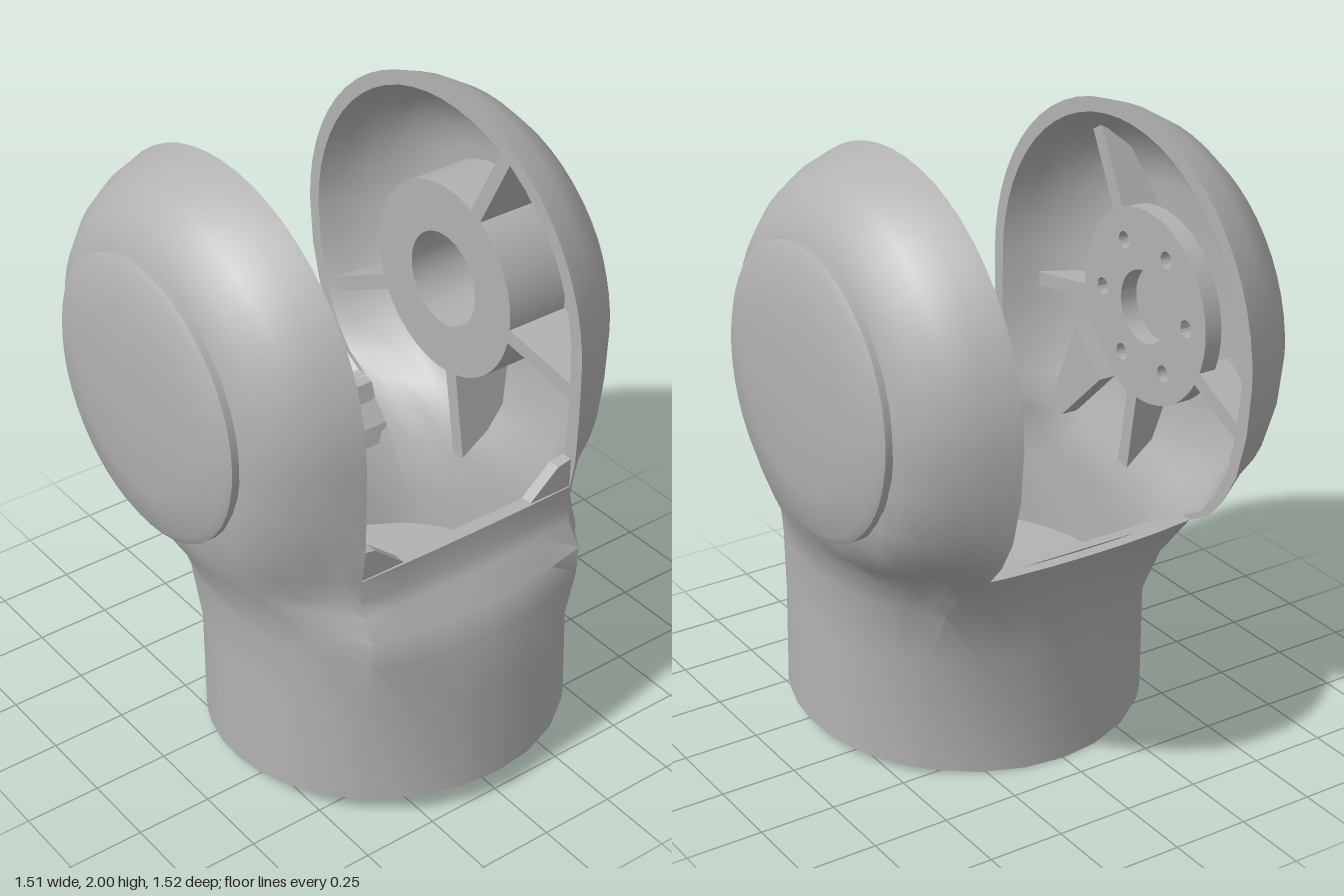
import * as THREE from 'three';
import { toCreasedNormals } from 'three/addons/utils/BufferGeometryUtils.js';

const CY = 1.315, CZ = -0.08; // pivot axis of the two ears
const { lerp, degToRad } = THREE.MathUtils;

// quarter outline of the ears: x against radius from the pivot axis
const EAR = [[0.695, 0], [0.695, 0.2], [0.692, 0.4], [0.68, 0.465], [0.64, 0.54], [0.575, 0.605],
  [0.49, 0.655], [0.4, 0.685], [0.27, 0.685], [0.13, 0.685], [0, 0.685]];
// matching angles on the round neck
const ANGLES = [0, 10, 20, 26, 32, 37, 42, 46.86, 62.5, 77, 90];
// height, neck-to-ear blend, front z, back z
const ROWS = [[0, 0, 0.76, -0.4], [0.4, 0, 0.745, -0.4], [0.6, 0.2, 0.72, -0.435], [0.7, 0.5, 0.685, -0.48],
  [0.77, 0.68, 0.615, -0.52], [0.82, 0.82, 0.595, -0.6], [0.9, 0.93, 0.59, -0.66], [1, 1, 0.6, -0.71],
  [1.15, 1, 0.605, -0.75], [CY, 1, 0.605, -0.765]];
const BACK_LIP = 4, FRONT_LIP = 6, TOP = 9;

const thinX = (x, inner) => (inner && x > 0.4 ? 0.4 + (x - 0.4) * 0.82 : x);
const thinR = (r, inner) => (inner ? r * 0.93 : r);

// ear half width at a radius from the pivot axis
function earWidth(r) {
  for (let k = 1; k < 8; k++) {
    const [x0, r0] = EAR[k - 1], [x1, r1] = EAR[k];
    if (r <= r1) return lerp(x0, x1, (r - r0) / (r1 - r0));
  }
  return 0.4;
}

// point on the loft: row j, column i of 40 around
function loftPoint(j, i, inner) {
  i = (i + 40) % 40;
  const quad = Math.floor(i / 10), k = quad % 2 ? 10 - (i % 10) : i % 10;
  const [y, s, zf, zb] = ROWS[j];
  const a = degToRad(ANGLES[k]), half = (zf - zb) / 2;
  // the middle flattens sooner than the sides widen
  const u = lerp(Math.sin(a), EAR[k][1] / 0.685, k < 7 ? s : Math.sqrt(s));
  // the ears round off towards the neck
  const ear = k < 7 ? lerp(EAR[k][0], earWidth(Math.hypot(u * half, y - CY)), 0.5) : EAR[k][0];
  const x = thinX(lerp(0.585 * Math.cos(a), ear, s), inner);
  const z = (zf + zb) / 2 + (quad < 2 ? 1 : -1) * thinR(u, inner) * half;
  return [quad === 1 || quad === 2 ? -x : x, j === 0 ? Math.max(0, (z + 0.4) * 0.069) : y, z];
}

// point on the upper half dome of an ear
function domePoint(side, m, i, inner) {
  const p = Math.PI * m / 28, r = thinR(EAR[i][1], inner);
  return [side * thinX(EAR[i][0], inner), CY + r * Math.sin(p), CZ + r * Math.cos(p)];
}

// hollow housing: neck, front band, two ears and their rims
function shellGeometry() {
  const pos = [];
  const quad = (a, b, c, d) => pos.push(...a, ...b, ...c, ...a, ...c, ...d);
  for (const inner of [false, true]) {
    const put = (a, b, c, d) => (inner ? quad(d, c, b, a) : quad(a, b, c, d));
    for (let j = 0; j < TOP; j++) {
      for (let i = 0; i < 40; i++) {
        if (i >= 7 && i < 13 && j >= FRONT_LIP) continue;
        if (i >= 27 && i < 33 && j >= BACK_LIP) continue;
        put(loftPoint(j, i, inner), loftPoint(j + 1, i, inner),
          loftPoint(j + 1, i + 1, inner), loftPoint(j, i + 1, inner));
      }
    }
    for (const side of [1, -1]) {
      for (let m = 0; m < 28; m++) {
        for (let i = 0; i < 7; i++) {
          const q = [domePoint(side, m, i, inner), domePoint(side, m + 1, i, inner),
            domePoint(side, m + 1, i + 1, inner), domePoint(side, m, i + 1, inner)];
          if (side < 0) q.reverse();
          put(...q);
        }
      }
    }
  }
  // rims between the outer and inner skins
  const rim = (f, n) => {
    for (let k = 0; k < n; k++) quad(f(k, false), f(k + 1, false), f(k + 1, true), f(k, true));
  };
  rim((k, t) => loftPoint(0, k, t), 40);
  rim((k, t) => loftPoint(FRONT_LIP, 7 + k, t), 6);
  rim((k, t) => loftPoint(BACK_LIP, 27 + k, t), 6);
  for (const c of [7, 13]) rim((k, t) => loftPoint(FRONT_LIP + k, c, t), TOP - FRONT_LIP);
  for (const c of [27, 33]) rim((k, t) => loftPoint(BACK_LIP + k, c, t), TOP - BACK_LIP);
  for (const side of [1, -1]) rim((k, t) => domePoint(side, k, 7, t), 28);
  const g = new THREE.BufferGeometry();
  g.setAttribute('position', new THREE.Float32BufferAttribute(pos, 3));
  return toCreasedNormals(g, 0.7);
}

function disc(radius, holes, segments = 40) {
  const s = new THREE.Shape().absarc(0, 0, radius, 0, Math.PI * 2);
  for (const [x, y, r] of holes) s.holes.push(new THREE.Path().absarc(x, y, r, 0, Math.PI * 2, true));
  return [s, segments];
}
const extrude = ([shape, curveSegments], depth) =>
  new THREE.ExtrudeGeometry(shape, { depth, bevelEnabled: false, curveSegments });
const polygon = (pts) => [new THREE.Shape(pts.map((p) => new THREE.Vector2(...p))), 1];

export function createModel() {
  const model = new THREE.Group();
  model.name = 'forkJoint';
  const grey = new THREE.MeshStandardMaterial({ color: 0xb2b2b2, side: THREE.DoubleSide });
  grey.name = 'grey';
  const add = (name, geometry, parent = model) => {
    const mesh = new THREE.Mesh(geometry, grey);
    mesh.name = name;
    parent.add(mesh);
    return mesh;
  };

  add('housingShell', shellGeometry());

  // mounting floor with bolt holes and a ledge ring below, tilted like the base
  const bolts = [[0, -0.35], [0, -0.22], [0, 0.21], [-0.18, -0.1], [0.18, -0.1], [-0.18, 0.1], [0.18, 0.1]];
  const floor = extrude(disc(0.55, [[0, 0, 0.118], ...bolts.map(([x, z]) => [x, -z, 0.028])], 24), 0.04);
  const ledge = extrude(disc(0.55, [[0, 0, 0.44]]), 0.07);
  ledge.translate(0, 0, -0.07);
  for (const [name, g] of [['mountingFloor', floor], ['floorLedge', toCreasedNormals(ledge, 0.6)]]) {
    g.rotateX(-Math.PI / 2 - 0.069);
    g.translate(0, 0.28, 0.17);
    add(name, g);
  }

  // thick lips at the back and the front of the opening (z, y outlines swept across x)
  const lip = (name, pts) => {
    const g = extrude(polygon(pts.map(([z, y]) => [-z, y])), 0.8);
    g.rotateY(Math.PI / 2);
    g.translate(-0.4, 0, 0);
    add(name, g);
  };
  lip('backCrossbar', [[-0.47, 0.768], [-0.42, 0.76], [-0.4, 0.7], [-0.34, 0.64], [-0.32, 0.58], [-0.37, 0.66], [-0.42, 0.7]]);
  lip('frontLip', [[0.56, 0.895], [0.5, 0.86], [0.5, 0.82], [0.54, 0.82]]);

  for (const side of [1, -1]) {
    const sideName = side > 0 ? 'left' : 'right';

    // slightly domed round cover
    const cap = new THREE.LatheGeometry([[0.455, 0.66], [0.455, 0.705], [0.43, 0.72], [0.3, 0.743], [0.15, 0.753], [0, 0.756]]
      .map((p) => new THREE.Vector2(...p)), 48);
    cap.rotateZ(-Math.PI / 2);
    const cover = add(sideName + 'Cover', toCreasedNormals(cap, 0.6));
    cover.position.set(0, CY - 0.005, CZ + 0.005);
    if (side < 0) cover.rotation.y = Math.PI;

    // bearing hub inside the ear: a deep ring on the left, a recessed screw plate on the right
    const hub = new THREE.Group();
    hub.name = sideName + 'Hub';
    hub.position.set(0, CY, CZ);
    model.add(hub);
    const screws = [0, 1, 2, 3, 4, 5].map((k) => [0.22 * Math.cos(k * Math.PI / 3), 0.22 * Math.sin(k * Math.PI / 3), 0.028]);
    const face = side > 0 ? 0.42 : 0.51;
    const depth = side > 0 ? 0.24 : 0.06;
    const plate = extrude(side > 0 ? disc(0.33, [[0, 0, 0.16]]) : disc(0.32, [[0, 0, 0.12], ...screws]), depth);
    plate.rotateY(Math.PI / 2);
    plate.translate(side > 0 ? face : -face - depth, 0, 0);
    add('hubPlate', toCreasedNormals(plate, 0.6), hub);

    // ribs from the hub to the ear wall
    for (const degrees of [63, -9, 207, 279]) {
      const a = degToRad(degrees), s = Math.sin(a), c = Math.cos(a);
      const reach = side > 0 ? 0.63 : 0.59;
      const rib = extrude(polygon([[0.29, face], [reach, face], [0.57, 0.53], [0.5, 0.6], [0.29, 0.65]]), 0.05);
      rib.translate(0, 0, -0.025);
      rib.applyMatrix4(new THREE.Matrix4().makeBasis(new THREE.Vector3(0, s, c),
        new THREE.Vector3(side, 0, 0), new THREE.Vector3(0, c * side, -s * side)));
      add('rib', rib, hub);
    }

    // tapered arm running down from the right hub
    if (side < 0) {
      const arm = extrude(polygon([[-0.13, -0.28], [-0.27, -0.14], [-0.4, -0.44], [-0.34, -0.48]]), 0.06);
      arm.rotateY(Math.PI / 2);
      arm.translate(-0.5, 0, 0);
      add('hubArm', arm, hub);
    }

    // small gusset where the front lip meets the ear
    const gusset = extrude(polygon([[side * 0.4, 0.88], [side * 0.22, 0.88], [side * 0.35, 0.99], [side * 0.4, 1]]), 0.04);
    gusset.translate(0, 0, 0.54);
    add(sideName + 'Gusset', gusset);
  }
  return model;
}
